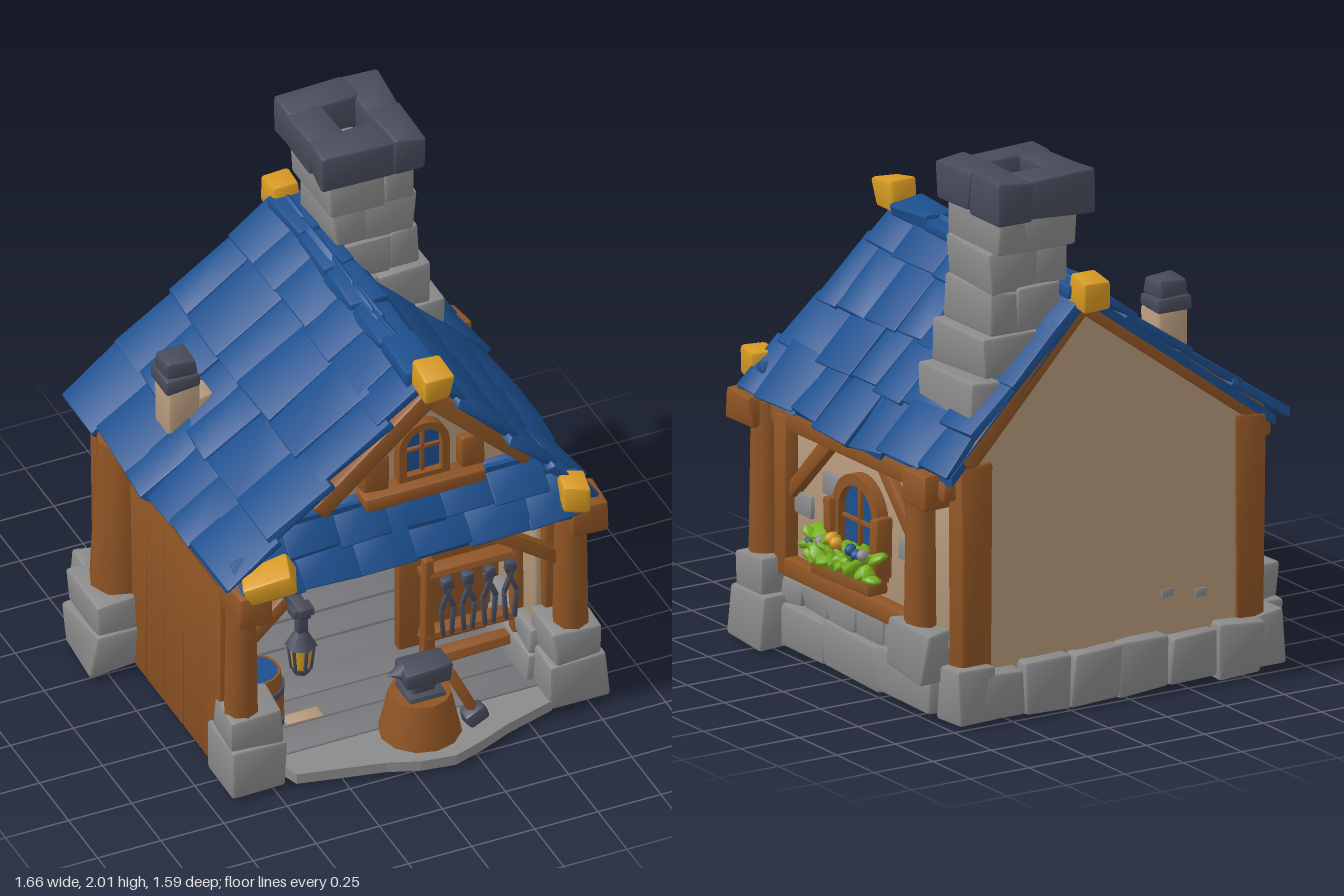
import * as THREE from 'three';
import { toCreasedNormals } from 'three/addons/utils/BufferGeometryUtils.js';
import { RoundedBoxGeometry } from 'three/addons/geometries/RoundedBoxGeometry.js';

export function createModel() {
  const model = new THREE.Group();
  model.name = 'smithy';
  const paint = (name, color) => Object.assign(new THREE.MeshStandardMaterial({ color }), { name });
  const blue = paint('blue shingle', 0x1c4f8e), wood = paint('wood', 0x8f5424), plaster = paint('plaster', 0xb5997b);
  const stone = paint('stone', 0x8a8a8a), dark = paint('dark stone and iron', 0x464b5a), gold = paint('gold', 0xd79a22);
  const green = paint('leaf green', 0x78b01c), floorGrey = paint('floor grey', 0x77767a);

  let seed = 7;
  const rnd = (a = -1, b = 1) => {
    seed = (seed * 16807) % 2147483647;
    return a + (b - a) * seed / 2147483647;
  };
  const add = (name, geo, mat, x = 0, y = 0, z = 0, parent = model) => {
    const m = new THREE.Mesh(geo, mat);
    m.name = name;
    m.position.set(x, y, z);
    parent.add(m);
    return m;
  };

  // Soft-edged block whose eight corners are nudged by up to j
  const blockGeo = (w, h, d, j = 0.01) => {
    const g = new RoundedBoxGeometry(w, h, d, 1, Math.min(w, h, d, 0.07) * 0.2);
    const nudge = Array.from({ length: 8 }, () => [rnd() * j, rnd() * j, rnd() * j]);
    const p = g.attributes.position;
    for (let i = 0; i < p.count; i++) {
      const [x, y, z] = [p.getX(i), p.getY(i), p.getZ(i)];
      const n = nudge[(x > 0) + 2 * (y > 0) + 4 * (z > 0)];
      p.setXYZ(i, x + n[0], y + n[1], z + n[2]);
    }
    return toCreasedNormals(g, 0.7);
  };
  // Block given by its extents
  const span = (name, mat, x0, x1, y0, y1, z0, z1, j = 0.006, parent = model) =>
    add(name, blockGeo(x1 - x0, y1 - y0, z1 - z0, j), mat, (x0 + x1) / 2, (y0 + y1) / 2, (z0 + z1) / 2, parent);
  // Bar between two points; round with 8 sides, or square
  const bar = (name, mat, a, b, r, round = false, parent = model) => {
    const A = new THREE.Vector3(...a), B = new THREE.Vector3(...b), len = A.distanceTo(B);
    const g = round ? toCreasedNormals(new THREE.CylinderGeometry(r * 0.95, r * 1.08, len, 8), 0.9)
      : blockGeo(r * 2, len, r * 2, r * 0.12);
    const m = add(name, g, mat, ...A.clone().lerp(B, 0.5).toArray(), parent);
    m.quaternion.setFromUnitVectors(new THREE.Vector3(0, 1, 0), B.sub(A).normalize());
    return m;
  };
  const slab = (pts, depth) =>
    new THREE.ExtrudeGeometry(new THREE.Shape(pts.map((p) => new THREE.Vector2(...p))), { depth, bevelEnabled: false });

  // Floor planks, bowed front edge and stone footing
  for (let i = 0; i < 8; i++) {
    const z = -0.64 + i * 0.147;
    span('floorPlank', floorGrey, -0.6 + rnd() * 0.015, 0.63, 0.005, 0.05 + rnd() * 0.005, z, z + 0.146, 0.003);
  }
  const apron = [[-0.47, 0.52], [0.62, 0.52], [0.6, 0.64], [0.4, 0.7], [0.27, 0.755], [0.15, 0.795], [0.02, 0.775], [-0.1, 0.73], [-0.42, 0.66]];
  add('frontFloorEdge', slab(apron.reverse(), 0.042), stone, 0, 0.044, 0).rotation.x = Math.PI / 2;
  span('scuffedBoard', plaster, -0.33, -0.19, 0.05, 0.058, 0.33, 0.39, 0.002);
  for (let i = 0; i < 6; i++) {
    const x = -0.58 + i * 0.205;
    span('backFooting', stone, x, x + 0.2, 0, 0.19 + rnd() * 0.015, -0.75, -0.6, 0.012);
    const z = -0.58 + i * 0.18;
    if (i % 2 === 0) span('sideFooting', stone, 0.57, 0.74, 0, 0.17, z, z + 0.36, 0.01);
    span('sideFootingTop', stone, 0.58, 0.72, 0.165, 0.275 + rnd() * 0.01, z, z + 0.18, 0.01);
  }
  span('backCornerStone', stone, 0.56, 0.72, 0, 0.2, -0.75, -0.58, 0.012);
  span('backPostStone', stone, 0.58, 0.79, 0.14, 0.33, -0.61, -0.36, 0.014);
  span('leftFooting', stone, -0.69, -0.54, 0, 0.2, -0.72, -0.46, 0.012);
  span('leftPostStone', stone, -0.82, -0.62, 0, 0.18, -0.5, -0.22, 0.014);
  span('leftPostStoneTop', stone, -0.79, -0.62, 0.17, 0.31, -0.49, -0.23, 0.014);
  for (const x of [-0.56, 0.71]) {
    span('frontPostStone', stone, x - 0.115, x + 0.11, 0, 0.2, 0.43, 0.65, 0.01);
    span('frontPostStoneTop', stone, x - 0.1, x + 0.1, 0.19, 0.33, 0.45, 0.64, 0.01);
  }

  // Walls
  add('backWall', slab([[-0.57, 0.1], [0.64, 0.1], [0.64, 0.98], [0.15, 1.49], [-0.57, 0.97]], 0.06), plaster, 0, 0, -0.69);
  span('rightWall', plaster, 0.62, 0.68, 0.25, 0.9, -0.66, 0.45, 0);
  span('leftWall', plaster, -0.61, -0.57, 0.05, 0.92, -0.68, 0.5, 0);
  for (let i = 0; i < 5; i++) {
    const z = -0.3 + i * 0.16;
    span('leftWallPlank', wood, -0.65, -0.605, 0.01, 0.91, z, z + 0.16, 0.001);
  }
  for (const [y, z] of [[0.67, 0.16], [0.55, 0.35], [0.56, -0.35]])
    span('wallStone', stone, 0.66, 0.695, y - 0.04, y + 0.04, z - 0.06, z + 0.06, 0.004);
  for (const [x, y] of [[-0.2, 0.34], [-0.34, 0.32]])
    span('wallChip', stone, x - 0.025, x + 0.025, y - 0.015, y + 0.015, -0.695, -0.688, 0.002);

  // Timber frame
  for (const [x, z, y0, r] of [[-0.595, 0.56, 0.32, 0.06], [0.71, 0.56, 0.32, 0.064], [0.71, -0.47, 0.3, 0.06]])
    bar('roundPost', wood, [x, y0, z], [x, 0.9, z], r, true);
  bar('thickLeftPost', wood, [-0.645, 0.2, -0.37], [-0.625, 0.93, -0.37], 0.112, true);
  for (const x of [-0.55, 0.62]) span('backPost', wood, x - 0.065, x + 0.065, 0.18, 0.96, -0.703, -0.61, 0.006);
  span('sidePost', wood, 0.64, 0.74, 0.27, 0.88, 0.4, 0.48);
  span('sillBeam', wood, 0.64, 0.73, 0.265, 0.34, -0.42, 0.42);
  bar('frontBeam', wood, [-0.65, 0.885, 0.58], [0.78, 0.885, 0.58], 0.045);
  bar('frontLowerBeam', wood, [-0.55, 0.81, 0.53], [0.66, 0.81, 0.53], 0.032);
  bar('rightEaveBeam', wood, [0.69, 0.865, -0.66], [0.69, 0.865, 0.62], 0.042);
  bar('leftEaveBeam', wood, [-0.62, 0.885, -0.66], [-0.62, 0.885, 0.62], 0.042);
  for (const [x, z, w, d] of [[-0.6, 0.62, 0.065, 0.09], [0.73, 0.62, 0.07, 0.09], [0.73, -0.55, 0.07, 0.07]])
    span('beamEnd', wood, x - w, x + w, 0.795, 0.92, z - d, z + d, 0.01);
  bar('frontBrace', wood, [-0.58, 0.6, 0.54], [-0.33, 0.83, 0.54], 0.028);
  bar('frontBrace', wood, [0.68, 0.6, 0.54], [0.36, 0.83, 0.54], 0.028);
  bar('sideBrace', wood, [0.69, 0.58, 0.42], [0.69, 0.84, 0.15], 0.028);
  bar('sideBrace', wood, [0.69, 0.6, -0.42], [0.69, 0.84, -0.2], 0.028);
  for (const [z, x0, y0, x1, y1] of [[-0.664, -0.6, 0.94, 0.66, 0.95], [0.535, -0.29, 1.1, 0.55, 1.09]]) {
    bar('leftRafter', wood, [x0, y0, z], [0.15, 1.485, z], 0.036);
    bar('rightRafter', wood, [x1, y1, z], [0.15, 1.485, z], 0.036);
  }

  // Main roof: backing sheet plus overlapping shingles on each slope
  const ridge = [0.15, 1.53];
  for (const [ex, ey, s] of [[-0.68, 0.92, -1], [0.745, 0.915, 1]]) {
    const dx = ex - ridge[0], dy = ey - ridge[1], len = Math.hypot(dx, dy);
    const slope = s < 0 ? Math.atan2(-dy, -dx) : Math.atan2(dy, dx);
    const end = [ridge[0] + dx * 0.97, ridge[1] + dy * 0.97];
    const pts = [ridge, end, [end[0], end[1] - 0.04], [ridge[0], ridge[1] - 0.04]];
    add('roofSheet', slab(s < 0 ? pts : pts.reverse(), 1.22), blue, 0, 0, -0.7);
    const rows = [0, 0.2, 0.5, 0.76, 1];
    for (let r = 0; r < 4; r++) {
      const t = (rows[r] + rows[r + 1]) / 2, l = (rows[r + 1] - rows[r]) * len + 0.04;
      const ragged = r === 3 ? 2 : 1, zEnd = 0.535 + 0.13 * t;
      let z = -0.72 + 0.03 * t;
      while (z < zEnd - 0.01) {
        let w = rnd(0.15, 0.28);
        if (zEnd - z - w < 0.11) w = zEnd - z;
        const m = add('shingle', blockGeo(l + rnd() * 0.02 * ragged, 0.032, w + 0.008, 0.006 * ragged), blue,
          ridge[0] + dx * t + s * 0.008, ridge[1] + dy * t + 0.015 + rnd() * 0.003, z + w / 2);
        m.rotation.set(rnd() * 0.02, rnd() * 0.03 * ragged, slope + s * 0.03);
        z += w;
      }
    }
  }
  for (let i = 0; i < 5; i++) {
    const z = -0.69 + i * 0.24;
    span('ridgeTile', blue, 0.09, 0.22, 1.51, 1.565 + rnd() * 0.008, z, z + 0.242, 0.01);
  }

  // Skirt roof below the front gable
  add('skirtSheet', slab([[-0.66, 0.9], [0.73, 0.9], [0.52, 1.1], [-0.36, 1.1]], 0.03), blue, 0, 0, 0.53);
  for (let r = 0; r < 2; r++) {
    const x0 = -0.64 + r * 0.2, x1 = 0.71 - r * 0.12, n = 6 - r;
    for (let i = 0; i < n; i++) {
      const w = (x1 - x0) / n;
      const m = add('skirtShingle', blockGeo(w + 0.008, 0.03, 0.17, 0.01), blue, x0 + w * (i + 0.5), 0.95 + r * 0.095, 0.64 - r * 0.07);
      m.rotation.set(0.8, 0, rnd() * 0.03);
    }
  }
  // Gold caps on the ridge ends and front corners
  span('ridgeCap', gold, 0.1, 0.21, 1.52, 1.63, 0.51, 0.64, 0.006).rotation.x = 0.12;
  span('ridgeCap', gold, 0.1, 0.21, 1.49, 1.6, -0.785, -0.66, 0.006).rotation.x = -0.12;
  span('cornerCap', gold, -0.64, -0.45, 0.925, 1.01, 0.62, 0.75, 0.008).rotation.set(0.1, -0.3, 0.4);
  span('cornerCap', gold, 0.61, 0.71, 0.94, 1.05, 0.63, 0.75, 0.008).rotation.y = -0.25;

  // Front gable
  add('gablePanel', slab([[-0.32, 1.05], [0.58, 1.05], [0.15, 1.48]], 0.03), plaster, 0, 0, 0.49);
  span('gableBeam', wood, -0.12, 0.36, 1.085, 1.14, 0.52, 0.61);
  for (const x of [-0.06, 0.32]) span('gableStud', wood, x - 0.05, x + 0.05, 1.13, x < 0 ? 1.28 : 1.26, 0.5, 0.57);

  // Arched window facing +z, its sill at the group's origin
  const arch = (w, h) => {
    const s = new THREE.Shape();
    s.moveTo(-w / 2, 0);
    s.lineTo(w / 2, 0);
    s.lineTo(w / 2, h - w / 2);
    s.absarc(0, h - w / 2, w / 2, 0, Math.PI, false);
    s.lineTo(-w / 2, 0);
    return s;
  };
  const windowAt = (w, h, t, x, y, z, turn) => {
    const g = new THREE.Group();
    g.name = 'archedWindow';
    const frame = arch(w, h);
    frame.holes.push(new THREE.Path(arch(w - 2 * t, h - 2 * t).getPoints(10).map((p) => new THREE.Vector2(p.x, p.y + t))));
    add('windowFrame', new THREE.ExtrudeGeometry(frame, { depth: 0.05, bevelEnabled: false, curveSegments: 10 }), wood, 0, 0, 0, g);
    add('windowGlass', new THREE.ShapeGeometry(arch(w - t, h - t), 10), blue, 0, t / 2, 0.02, g);
    span('mullion', wood, -0.007, 0.007, t, h - t, 0.02, 0.035, 0, g);
    span('crossbar', wood, -w / 2 + t, w / 2 - t, h * 0.5, h * 0.5 + 0.014, 0.02, 0.035, 0, g);
    g.position.set(x, y, z);
    g.rotation.y = turn;
    model.add(g);
  };
  windowAt(0.2, 0.25, 0.03, 0.13, 1.13, 0.515, 0);
  windowAt(0.31, 0.37, 0.042, 0.675, 0.4, -0.05, Math.PI / 2);
  for (const z of [-0.205, 0.105]) span('windowPost', wood, 0.68, 0.75, 0.42, 0.65, z - 0.025, z + 0.025);

  // Flower box with two rows of broad leaves
  span('flowerBox', wood, 0.7, 0.79, 0.36, 0.43, -0.23, 0.16, 0.005);
  const leaf = new THREE.SphereGeometry(0.044, 7, 5);
  for (let i = 0; i < 44; i++) {
    const z = -0.25 + i * 0.0103, upper = i % 2;
    const m = add('leaf', leaf, green, upper ? rnd(0.72, 0.77) : rnd(0.76, 0.795), upper ? rnd(0.47, 0.51) : rnd(0.425, 0.46), z);
    m.scale.set(0.95, 0.4, 0.75);
    m.rotation.set(rnd() * 0.5, rnd() * 3, -0.6 + rnd() * 0.4);
  }
  for (const [z, y, mat] of [[0.03, 0.52, gold], [0.0, 0.51, gold], [-0.1, 0.51, blue], [-0.14, 0.5, blue], [-0.18, 0.51, stone], [0.1, 0.49, stone], [0.17, 0.47, blue]])
    add('flower', new THREE.IcosahedronGeometry(0.024, 1), mat, 0.775, y, z);

  // Large chimney: stacked courses of two stones, hollow dark cap
  const courses = [[1.0, 0.22, 0.605, -0.64, -0.27], [1.24, 0.2, 0.545, -0.63, -0.28], [1.4, 0.2, 0.51, -0.62, -0.3],
    [1.55, 0.18, 0.5, -0.61, -0.31], [1.7, 0.15, 0.49, -0.64, -0.3]];
  courses.forEach(([y, x0, x1, z0, z1], i) => {
    const mid = x0 + (x1 - x0) * (i % 2 ? 0.4 : 0.66), h = i ? 0.163 : 0.245;
    span('chimneyStone', stone, x0, mid, y, y + h, z0, z1, 0.008);
    span('chimneyStone', stone, mid - 0.008, x1, y, y + h, z0, z1, 0.008);
  });
  for (const [x0, x1, z0, z1] of [[0.12, 0.4, -0.71, -0.58], [0.39, 0.52, -0.71, -0.48], [0.39, 0.52, -0.49, -0.27], [0.12, 0.4, -0.42, -0.28], [0.12, 0.25, -0.6, -0.4]])
    span('chimneyCapStone', dark, x0, x1, 1.84, 1.992, z0, z1, 0.01);

  // Small chimney
  span('smallChimney', plaster, -0.555, -0.425, 0.98, 1.25, -0.28, -0.15, 0.006);
  span('smallChimneyFoot', plaster, -0.44, -0.36, 1.05, 1.18, -0.27, -0.16, 0.006);
  span('smallChimneyRim', dark, -0.565, -0.425, 1.24, 1.295, -0.285, -0.145, 0.005);
  span('smallChimneyTop', dark, -0.555, -0.435, 1.285, 1.36, -0.27, -0.16, 0.005);

  // Forge steps along the left wall, with a leaning flue in front
  for (let i = 0; i < 5; i++) {
    const y = 0.05 + i * 0.11;
    span('forgeStone', stone, -0.56, -0.28 - i * 0.025, y, y + 0.11, -0.6 + i * 0.03, -0.3, 0.012);
    span('forgeStone', stone, -0.56, -0.27 - i * 0.025, y, y + 0.11, -0.31, -0.04 - i * 0.02, 0.012);
  }
  for (let i = 0; i < 5; i++) {
    const y = 0.05 + i * 0.14, x = -0.46 + (i % 2) * 0.025;
    span('flueStone', stone, x - 0.06, x + 0.06, y, y + 0.138, 0.03, 0.16, 0.014);
  }

  // Back room furniture
  bar('shelfLog', wood, [-0.28, 0.555, -0.5], [0.21, 0.555, -0.5], 0.062, true);
  span('crate', wood, -0.18, 0.02, 0.05, 0.37, -0.6, -0.36);
  span('crate', wood, 0.03, 0.22, 0.05, 0.35, -0.6, -0.38);
  span('shelfPost', wood, -0.25, -0.205, 0.05, 0.4, -0.45, -0.4);
  span('rackBackboard', wood, 0.22, 0.62, 0.05, 0.74, 0.1, 0.15, 0.004);

  // Tool rack with hanging tongs
  for (const x of [0.25, 0.6]) span('rackPost', wood, x - 0.02, x + 0.02, 0.05, 0.58, 0.3, 0.35);
  for (const y of [0.11, 0.22, 0.49]) span('rackRail', wood, 0.23, 0.62, y, y + 0.035, 0.29, 0.35);
  for (let i = 0; i < 4; i++) {
    const x = 0.31 + i * 0.083;
    span('toolHead', dark, x - 0.022, x + 0.022, 0.46, 0.5, 0.35, 0.385, 0.004);
    for (const s of [-1, 1]) {
      bar('tongArm', dark, [x - s * 0.018, 0.48, 0.37], [x + s * 0.025, 0.37, 0.37], 0.009);
      bar('tongHandle', dark, [x + s * 0.025, 0.37, 0.37], [x + s * 0.016, 0.25, 0.37], 0.008);
    }
  }
  for (const x of [0.36, 0.52]) span('punch', dark, x - 0.025, x + 0.025, 0.56, 0.59, 0.15, 0.18, 0.003);

  // Anvil on a stump, and a hammer leaning on it
  add('stump', toCreasedNormals(new THREE.CylinderGeometry(0.115, 0.155, 0.18, 12), 0.7), wood, 0.1, 0.125, 0.59);
  span('anvilFoot', dark, 0.03, 0.18, 0.2, 0.235, 0.52, 0.66);
  span('anvilWaist', dark, 0.06, 0.15, 0.22, 0.29, 0.55, 0.63);
  span('anvilTop', dark, 0.02, 0.2, 0.275, 0.35, 0.53, 0.66, 0.008);
  add('anvilHorn', new THREE.ConeGeometry(0.037, 0.06, 8), dark, 0.0, 0.318, 0.59).rotation.z = Math.PI / 2;
  bar('hammerHandle', wood, [0.21, 0.27, 0.6], [0.3, 0.08, 0.64], 0.016);
  span('hammerHead', dark, 0.25, 0.34, 0.05, 0.115, 0.6, 0.67).rotation.z = 0.4;

  // Barrel of water
  const profile = [[0.085, 0], [0.105, 0.09], [0.11, 0.14], [0.106, 0.2], [0.095, 0.28], [0.086, 0.28], [0.084, 0.25]];
  add('barrel', toCreasedNormals(new THREE.LatheGeometry(profile.map((p) => new THREE.Vector2(...p)), 14), 0.7), wood, -0.455, 0.05, 0.37);
  add('water', new THREE.CylinderGeometry(0.088, 0.088, 0.01, 14), blue, -0.455, 0.322, 0.37);
  for (const y of [0.12, 0.26]) add('barrelHoop', new THREE.CylinderGeometry(0.111, 0.111, 0.025, 14), dark, -0.455, y, 0.37);

  // Hanging lantern
  const lantern = new THREE.Group();
  lantern.name = 'lantern';
  lantern.position.set(-0.44, 0, 0.74);
  model.add(lantern);
  bar('lanternArm', dark, [0, 0.85, -0.14], [0, 0.84, 0.04], 0.024, false, lantern);
  span('lanternBracket', dark, -0.045, 0.045, 0.825, 0.86, -0.03, 0.03, 0.004, lantern);
  bar('lanternHook', dark, [0, 0.74, 0], [0, 0.86, 0], 0.02, false, lantern);
  add('lanternRoof', new THREE.CylinderGeometry(0.024, 0.06, 0.065, 6), dark, 0, 0.718, 0, lantern);
  add('lanternGlass', new THREE.CylinderGeometry(0.046, 0.034, 0.1, 6), gold, 0, 0.635, 0, lantern);
  add('lanternBase', new THREE.CylinderGeometry(0.04, 0.032, 0.024, 6), dark, 0, 0.578, 0, lantern);
  for (let i = 0; i < 6; i++) {
    const c = Math.sin(i * Math.PI / 3), s = Math.cos(i * Math.PI / 3);
    bar('lanternRib', dark, [c * 0.034, 0.58, s * 0.034], [c * 0.047, 0.69, s * 0.047], 0.006, false, lantern);
  }
  return model;
}
